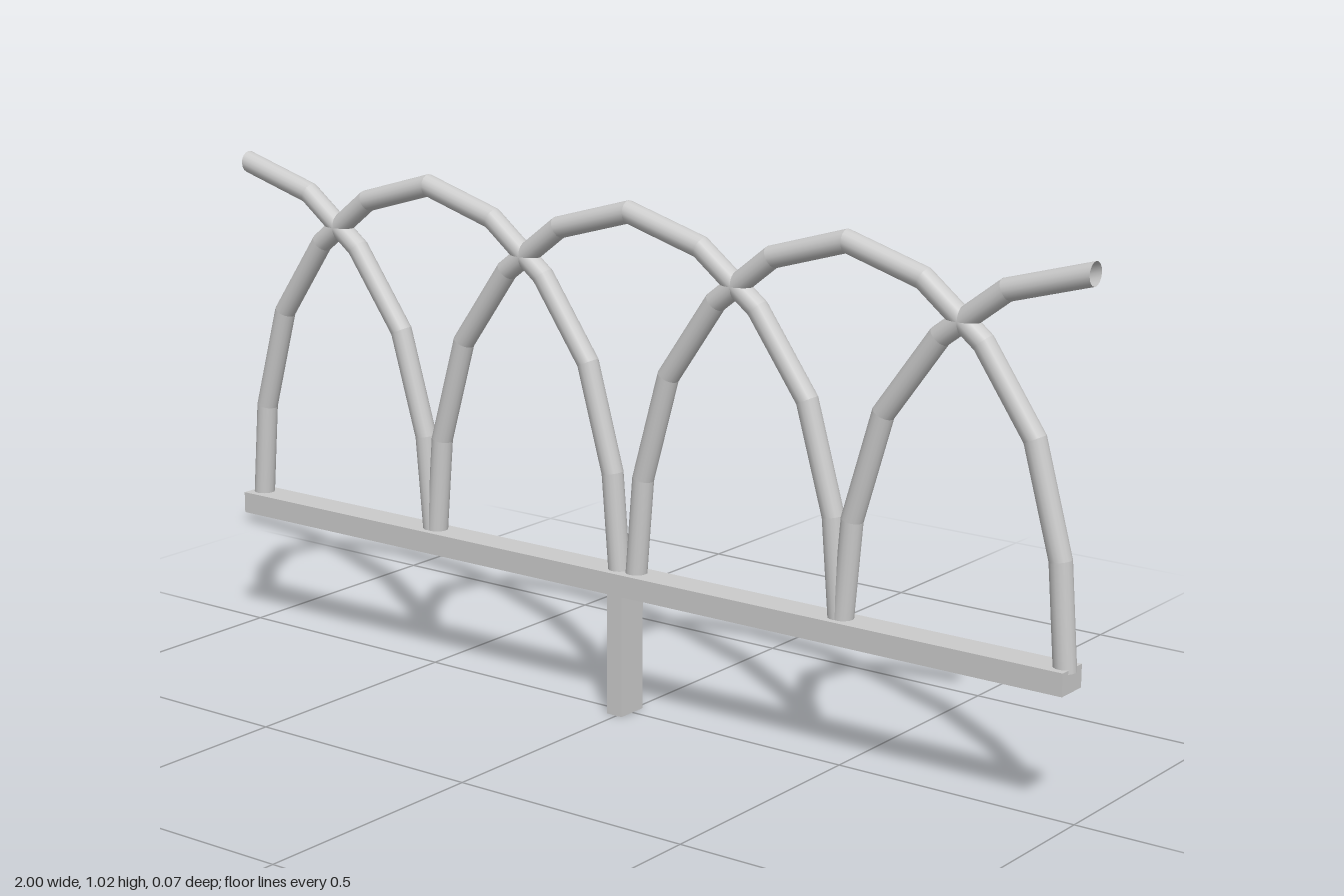
import * as THREE from 'three';
import { mergeGeometries } from 'three/addons/utils/BufferGeometryUtils.js';

const material = new THREE.MeshStandardMaterial({ color: 0xcccccc });
const tubeMaterial = new THREE.MeshStandardMaterial({ color: 0xcccccc, side: THREE.DoubleSide });
const RADIUS = 0.0215;

// Left half of an arch: [offset as a fraction of the half width, height]
const PROFILE = [[-1, 0.28], [-0.965, 0.48], [-0.84, 0.69], [-0.61, 0.847], [-0.343, 0.947], [0, 0.995]];

// Straight tube segments with mitred joints, from segment `first` up to `last`
function archGeometry(centre, halfWidth, first, last) {
  const half = PROFILE.map(([f, y]) => new THREE.Vector2(f * halfWidth, y));
  const mirrored = half.slice(0, -1).reverse().map((p) => new THREE.Vector2(-p.x, p.y));
  const points = [...half, ...mirrored].map((p) => p.setX(p.x + centre));
  const normals = points.slice(1).map((p, i) => {
    const d = p.clone().sub(points[i]).normalize();
    return new THREE.Vector2(d.y, -d.x);
  });
  const mitres = points.map((_, i) => {
    const a = normals[Math.max(i - 1, 0)];
    const b = normals[Math.min(i, normals.length - 1)];
    const m = a.clone().add(b).normalize();
    return m.divideScalar(m.dot(a));
  });

  const segments = [];
  for (let s = first; s < last; s++) {
    const geometry = new THREE.CylinderGeometry(RADIUS, RADIUS, 1, 16, 1, true);
    const pos = geometry.attributes.position;
    const nor = geometry.attributes.normal;
    for (let i = 0; i < pos.count; i++) {
      const joint = pos.getY(i) > 0 ? s + 1 : s;
      const across = pos.getX(i);
      pos.setXY(i, points[joint].x + mitres[joint].x * across, points[joint].y + mitres[joint].y * across);
      const nx = nor.getX(i);
      nor.setXY(i, normals[s].x * nx, normals[s].y * nx);
    }
    segments.push(geometry);
  }
  return mergeGeometries(segments);
}

export function createModel() {
  const group = new THREE.Group();

  function add(name, geometry, mat = material) {
    const mesh = new THREE.Mesh(geometry, mat);
    mesh.name = name;
    group.add(mesh);
    return mesh;
  }

  // Base rail and the short post under it
  add('baseRail', new THREE.BoxGeometry(1.985, 0.044, 0.068)).position.set(-0.0075, 0.267, 0.001);
  add('post', new THREE.BoxGeometry(0.036, 0.245, 0.068)).position.set(-0.005, 0.1225, 0.001);

  // Overlapping hoops; the outer two are half arches cut at their crown
  const arches = [
    ['rightHalfArch', -0.99, 0.493, 5, 10],
    ['rightArch', -0.497, 0.478, 0, 10],
    ['middleArch', 0.003, 0.491, 0, 10],
    ['leftArch', 0.496, 0.474, 0, 10],
    ['leftHalfArch', 1.0, 0.499, 0, 5],
  ];
  for (const [name, ...shape] of arches) add(name, archGeometry(...shape), tubeMaterial);

  return group;
}
